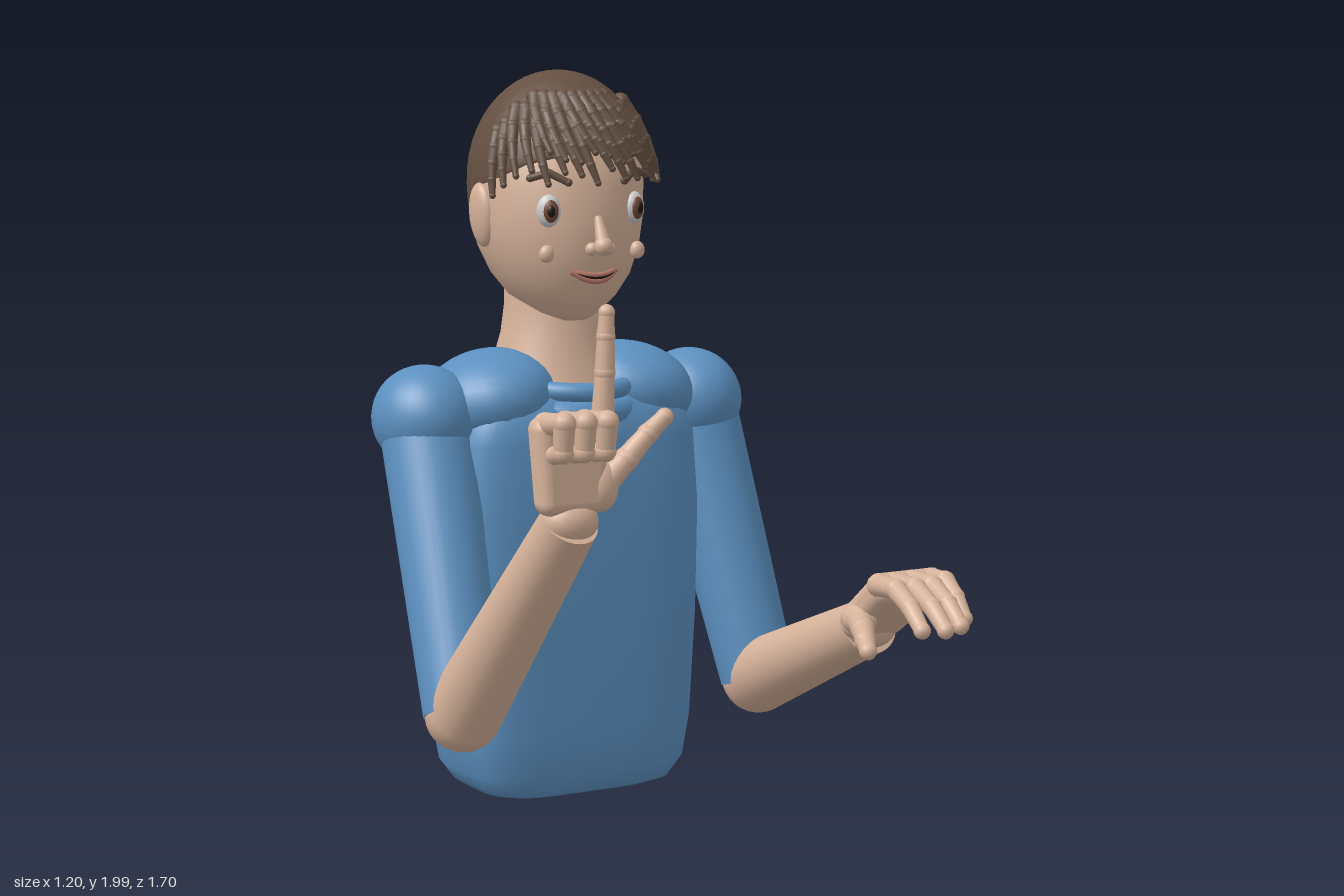
import * as THREE from 'three';
import { RoundedBoxGeometry } from 'three/addons/geometries/RoundedBoxGeometry.js';

const mat = (color) => new THREE.MeshStandardMaterial({ color });
const V = (p) => new THREE.Vector3(...p);
const UP = new THREE.Vector3(0, 1, 0);

// Closed skin over stacked rings: point(a, j) gives [x, y, z], rings run bottom to top
function ringSkin(rings, sides, point) {
  const pos = [], idx = [];
  for (let j = 0; j < rings; j++)
    for (let i = 0; i < sides; i++) pos.push(...point((i / sides) * Math.PI * 2, j));
  for (let j = 0; j < rings - 1; j++)
    for (let i = 0; i < sides; i++) {
      const a = j * sides + i, b = j * sides + (i + 1) % sides;
      idx.push(a, b, b + sides, a, b + sides, a + sides);
    }
  const g = new THREE.BufferGeometry();
  g.setAttribute('position', new THREE.Float32BufferAttribute(pos, 3));
  g.setIndex(idx);
  g.computeVertexNormals();
  return g;
}

// Rings [y, centre x, half width, front z, back z] with superellipse corners
function loft(rows, power, sides = 48) {
  const bend = (v) => Math.sign(v) * Math.abs(v) ** (2 / power);
  return ringSkin(rows.length, sides, (a, j) => {
    const [y, cx, rx, zf, zb] = rows[j];
    return [cx + rx * bend(Math.sin(a)), y, (zf + zb) / 2 + (zf - zb) / 2 * bend(Math.cos(a))];
  });
}

// Hair surface at azimuth a (0 = front, positive towards the left side)
function hairPoint(a, y, s = 1) {
  const t = y - 1.7, k = Math.sqrt(Math.max(0, 1 - (t / (t > 0 ? 0.3 : 0.4)) ** 2));
  return [-0.01 + 0.245 * k * s * Math.sin(a), y, -0.58 + 0.27 * k * s * Math.cos(a)];
}

export function createModel() {
  const root = new THREE.Group();
  root.name = 'figure';
  const skin = mat(0xd6b29a), shirt = mat(0x5c90c0), hair = mat(0x655042);
  const white = mat(0xe6e6e6), brown = mat(0x6e4532), dark = mat(0x1c1614), lip = mat(0xb5786a);

  function add(name, geo, m, parent = root) {
    const mesh = new THREE.Mesh(geo, m);
    mesh.name = name;
    parent.add(mesh);
    return mesh;
  }
  function ball(name, p, r, m, parent = root, seg = 24) {
    const mesh = add(name, new THREE.SphereGeometry(1, seg, Math.ceil(seg * 0.7)), m, parent);
    mesh.position.set(...p);
    Array.isArray(r) ? mesh.scale.set(...r) : mesh.scale.setScalar(r);
    return mesh;
  }
  function limb(name, p, q, r0, r1, m, parent = root, seg = 32) {
    const a = V(p), b = V(q), d = b.clone().sub(a);
    const mesh = add(name, new THREE.CylinderGeometry(r1, r0, d.length(), seg), m, parent);
    mesh.position.copy(a).lerp(b, 0.5);
    mesh.quaternion.setFromUnitVectors(UP, d.normalize());
  }
  // Jointed chain of tapering segments with a ball at each joint
  function chain(name, pts, r0, r1, m, parent = root) {
    const g = new THREE.Group();
    g.name = name;
    parent.add(g);
    const r = (i) => r0 + (r1 - r0) * i / (pts.length - 1);
    pts.forEach((p, i) => {
      ball(name + 'Joint', p, r(i), m, g, 12);
      if (i) limb(name + 'Segment', pts[i - 1], p, r(i - 1) * 0.95, r(i) * 0.9, m, g, 12);
    });
  }

  // Torso
  add('torso', loft([
    [0.01, -0.02, 0, -0.56, -0.57], [0.01, -0.02, 0.23, -0.4, -0.73],
    [0.025, -0.02, 0.285, -0.37, -0.76], [0.08, -0.02, 0.325, -0.35, -0.775],
    [0.2, -0.02, 0.345, -0.34, -0.785], [0.5, -0.02, 0.363, -0.335, -0.79],
    [0.8, -0.02, 0.37, -0.335, -0.79], [1.0, -0.02, 0.36, -0.345, -0.79],
    [1.08, -0.02, 0.33, -0.36, -0.775], [1.13, -0.02, 0.27, -0.4, -0.74],
    [1.16, -0.02, 0.15, -0.46, -0.68], [1.17, -0.02, 0, -0.56, -0.57]], 4.5), shirt);

  // Shoulders, double collar and neck
  for (const s of [-1, 1]) {
    const yoke = ball('shoulderYoke', [-0.02 + s * 0.215, 1.115, -0.56], [0.185, 0.13, 0.2], shirt);
    yoke.rotation.z = -s * 0.2;
  }
  [[1.15, 0.17, 0.215, 0.026], [1.09, 0.19, 0.205, 0.038]].forEach(([y, rx, rz, r]) => {
    const path = new THREE.CatmullRomCurve3(Array.from({ length: 20 }, (_, i) => {
      const a = i / 20 * Math.PI * 2;
      return new THREE.Vector3(-0.01 + rx * Math.sin(a), y - 0.015 * Math.cos(a), -0.573 + rz * Math.cos(a));
    }), true);
    add('collar', new THREE.TubeGeometry(path, 64, r, 12, true), shirt);
  });
  add('neck', loft([[1.12, -0.02, 0.2, -0.4, -0.77], [1.2, -0.02, 0.175, -0.425, -0.75],
    [1.28, -0.02, 0.15, -0.44, -0.735], [1.36, -0.02, 0.137, -0.45, -0.73],
    [1.5, -0.02, 0.135, -0.46, -0.73]], 2), skin);

  // Head
  add('head', loft([
    [1.322, -0.025, 0, -0.47, -0.49], [1.325, -0.025, 0.05, -0.435, -0.56],
    [1.345, -0.025, 0.09, -0.405, -0.63], [1.39, -0.025, 0.14, -0.365, -0.7],
    [1.45, -0.025, 0.185, -0.335, -0.75], [1.52, -0.025, 0.213, -0.318, -0.79],
    [1.6, -0.025, 0.23, -0.315, -0.81], [1.7, -0.02, 0.232, -0.322, -0.82],
    [1.8, -0.015, 0.22, -0.35, -0.8], [1.89, -0.01, 0.17, -0.41, -0.74],
    [1.95, -0.01, 0.09, -0.49, -0.66], [1.97, -0.01, 0, -0.57, -0.58]], 2.1), skin);

  // Hair cap, short over the face and long behind the ears
  const line = [[0, 1.81], [50, 1.76], [75, 1.71], [95, 1.69], [108, 1.6], [122, 1.5], [181, 1.485]];
  const hairline = (a) => {
    const d = THREE.MathUtils.radToDeg(Math.min(a, Math.PI * 2 - a));
    const k = line.findIndex((p, i) => d < line[i + 1][0]);
    return THREE.MathUtils.mapLinear(d, line[k][0], line[k + 1][0], line[k][1], line[k + 1][1]);
  };
  add('hairCap', ringSkin(20, 72, (a, j) => {
    const low = hairline(a), ripple = 1 + 0.006 * Math.cos(a * 18);
    if (j < 2) return hairPoint(a, low - 0.006 * j, j ? 0.98 : 0.86);
    return hairPoint(a, low + (2 - low) * Math.sin((j - 2) / 17 * Math.PI / 2), ripple);
  }), hair);

  // Fringe: two overlapping rows of locks swept to the left, plus the temples
  const lock = (a0, a1, y0, y1, r = 0.022) => chain('hairLock', [0, 0.25, 0.5, 0.75, 1].map((t) =>
    hairPoint(THREE.MathUtils.degToRad(a0 + (a1 - a0) * t), y0 + (y1 - y0) * t, 1 + 0.09 * t)), r, 0.009, hair);
  for (let i = 0; i < 12; i++) lock(-66 + i * 9, -54 + i * 9.5, 1.9, 1.725 + 0.02 * Math.sin(i * 2.3));
  for (let i = 0; i < 9; i++) lock(-52 + i * 9, -34 + i * 9, 1.93, 1.775 + 0.015 * Math.cos(i * 1.9), 0.024);
  lock(-76, -70, 1.84, 1.67);
  lock(-70, -62, 1.86, 1.7);
  lock(84, 60, 1.9, 1.7, 0.026);
  lock(76, 68, 1.91, 1.71, 0.026);

  // Face
  for (const s of [-1, 1]) {
    const x = -0.025 + s * 0.13;
    const eye = new THREE.Group();
    eye.name = 'eye';
    eye.position.set(x, 1.633, -0.355);
    eye.rotation.y = s * 0.4;
    root.add(eye);
    ball('eyeWhite', [0, 0, 0], [0.033, 0.044, 0.024], white, eye);
    ball('iris', [-s * 0.004, 0, 0.014], [0.022, 0.031, 0.014], brown, eye);
    ball('pupil', [-s * 0.005, 0, 0.024], [0.011, 0.016, 0.007], dark, eye);
    chain('eyebrow', [[x - 0.045, 1.715 - s * 0.006, -0.35 + s * 0.024], [x, 1.735, -0.352],
      [x + 0.045, 1.715 + s * 0.006, -0.35 - s * 0.024]], 0.011, 0.011, hair);
    ball('cheek', [-0.025 + s * 0.138, 1.518, -0.352], [0.021, 0.024, 0.018], skin);
    const ear = ball('ear', [-0.02 + s * 0.228, 1.612, -0.57], [0.028, 0.088, 0.056], skin);
    ear.rotation.z = -s * 0.08;
    ball('nostril', [-0.025 + s * 0.026, 1.53, -0.305], 0.018, skin);
  }
  limb('noseBridge', [-0.025, 1.615, -0.318], [-0.025, 1.55, -0.29], 0.011, 0.02, skin, root, 16);
  ball('noseTip', [-0.025, 1.538, -0.287], 0.026, skin);
  const smile = (y, sag) => new THREE.CatmullRomCurve3([-1, -0.5, 0, 0.5, 1].map((t) =>
    new THREE.Vector3(-0.025 + 0.066 * t, y + sag * t * t, -0.325 - 0.02 * t * t)));
  add('upperLip', new THREE.TubeGeometry(smile(1.457, 0.012), 24, 0.008, 8), lip);
  add('lowerLip', new THREE.TubeGeometry(smile(1.442, 0.026), 24, 0.009, 8), lip);
  add('mouthLine', new THREE.TubeGeometry(smile(1.45, 0.019), 24, 0.008, 8), dark);

  // Arms
  const arms = [
    ['right', [-0.43, 1.07, -0.56], [-0.495, 0.33, -0.2], [-0.425, 0.91, 0.28]],
    ['left', [0.395, 1.07, -0.56], [0.495, 0.295, -0.34], [0.43, 0.57, 0.34]]];
  for (const [side, shoulder, elbow, wrist] of arms) {
    ball(side + 'Shoulder', shoulder, [0.143, 0.143, 0.16], shirt, root, 32);
    limb(side + 'Sleeve', shoulder, elbow, 0.128, 0.107, shirt);
    ball(side + 'Elbow', elbow, 0.104, skin);
    limb(side + 'Forearm', elbow, wrist, 0.104, 0.075, skin);
    ball(side + 'Wrist', wrist, [0.075, 0.06, 0.06], skin);
  }

  // Palm: rounded slab, narrower at the wrist
  function palm(name, p, length, tilt) {
    const g = new RoundedBoxGeometry(0.215, length, 0.085, 4, 0.035);
    const a = g.attributes.position;
    for (let i = 0; i < a.count; i++) a.setX(i, a.getX(i) * (0.9 + 0.2 * a.getY(i) / length));
    const mesh = add(name, g, skin);
    mesh.position.set(...p);
    mesh.rotation.x = tilt;
  }

  // Right hand: raised index finger, others curled forward
  palm('rightPalm', [-0.43, 1.055, 0.285], 0.25, 0);
  chain('rightIndex', [[-0.335, 1.16, 0.285], [-0.328, 1.28, 0.285], [-0.325, 1.37, 0.285],
    [-0.322, 1.43, 0.285]], 0.031, 0.021, skin);
  [-0.385, -0.44, -0.495].forEach((x, i) => {
    const k = 1 - 0.07 * i, f = (y, z) => [x, 1.16 + y, 0.285 + z * k];
    chain('rightCurledFinger', [f(0, 0), f(0.015, 0.12), f(-0.06, 0.11), f(-0.07, 0.06)], 0.032, 0.024, skin);
  });
  ball('rightThumbBase', [-0.345, 0.995, 0.295], [0.045, 0.065, 0.04], skin);
  chain('rightThumb', [[-0.34, 1.0, 0.297], [-0.275, 1.06, 0.3], [-0.215, 1.12, 0.302],
    [-0.168, 1.16, 0.304]], 0.037, 0.023, skin);

  // Left hand: lowered with relaxed fingers reaching forward
  palm('leftPalm', [0.415, 0.65, 0.45], 0.27, 0.95);
  [[0.325, 0.285, 0.8], [0.375, 0.338, 0.825], [0.43, 0.4, 0.8], [0.487, 0.462, 0.725]].forEach(([x0, x1, z]) => {
    const f = (t, y) => [x0 + (x1 - x0) * t, y, 0.54 + (z - 0.54) * t];
    chain('leftFinger', [f(0, 0.722), f(0.4, 0.73), f(0.73, 0.7), f(1, 0.655)], 0.031, 0.022, skin);
  });
  ball('leftThumbBase', [0.33, 0.615, 0.44], [0.04, 0.04, 0.06], skin);
  chain('leftThumb', [[0.32, 0.615, 0.46], [0.285, 0.608, 0.53], [0.257, 0.592, 0.585],
    [0.24, 0.575, 0.625]], 0.036, 0.023, skin);

  return root;
}
